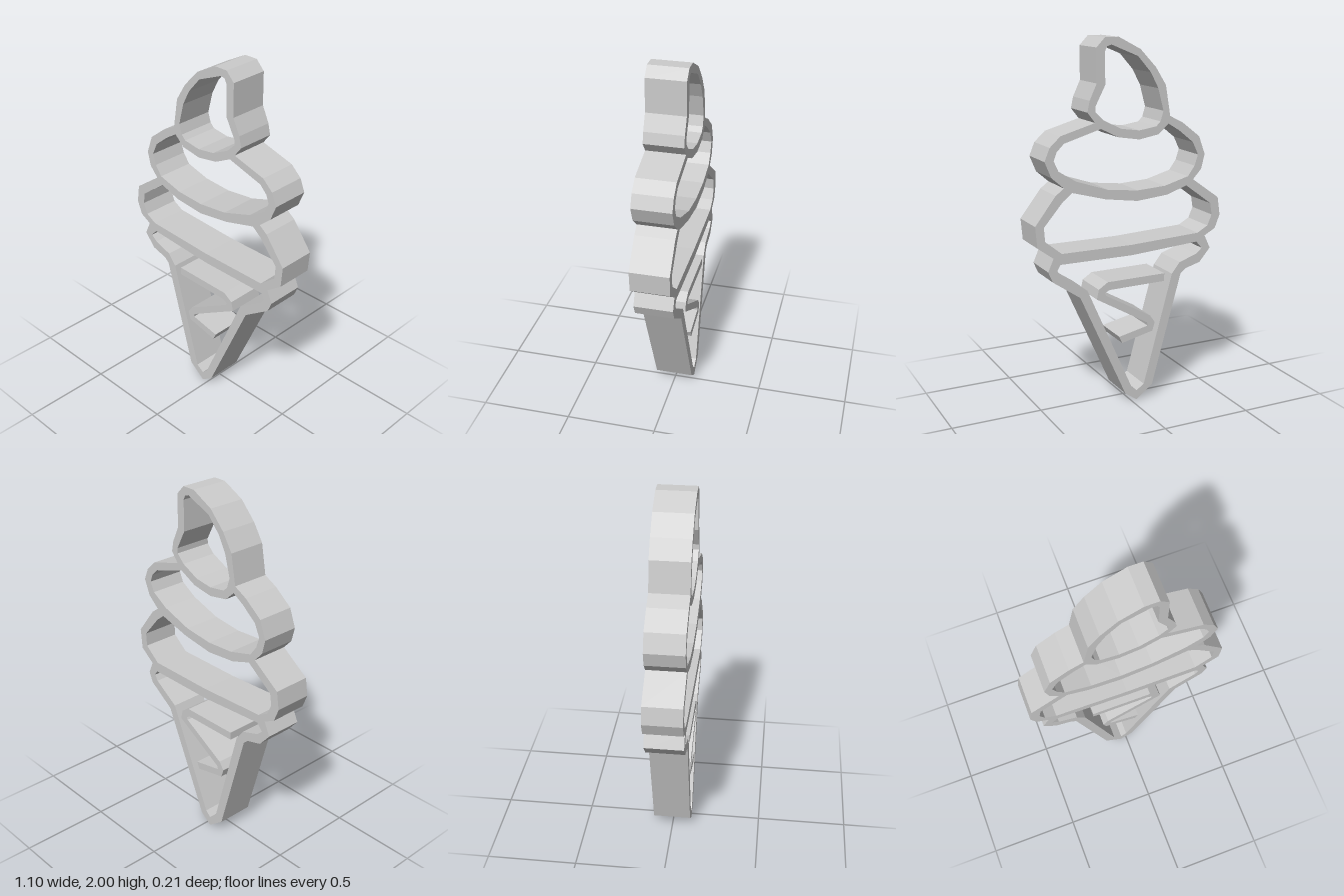
import * as THREE from 'three';

const DEPTH = 0.21;
const material = new THREE.MeshStandardMaterial({ color: 0xcccccc, flatShading: true });

const points = (list) => list.map(([x, y]) => new THREE.Vector2(x, y));

// Extrude a flat outline (with holes), centred on z = 0.
// All lists run clockwise; the outline is turned so that the hole walls face inward.
function cutout(name, outline, holes = []) {
  const shape = new THREE.Shape(points(outline).reverse());
  for (const h of holes) shape.holes.push(new THREE.Path(points(h)));
  const geometry = new THREE.ExtrudeGeometry(shape, { depth: DEPTH, bevelEnabled: false });
  geometry.translate(0, 0, -DEPTH / 2);
  const mesh = new THREE.Mesh(geometry, material);
  mesh.name = name;
  return mesh;
}

// Outer edge of the whole ice cream, clockwise from the tip
const silhouette = [
  [0.075, 2], [0.152, 2], [0.2, 1.95], [0.2, 1.77], [0.24, 1.685], [0.253, 1.625], [0.21, 1.57],
  [0.403, 1.515], [0.463, 1.46], [0.492, 1.39], [0.457, 1.305], [0.388, 1.245],
  [0.435, 1.21], [0.55, 1.06], [0.54, 0.945], [0.452, 0.88],
  [0.483, 0.81], [0.458, 0.752], [0.303, 0.645], [0.037, 0.05], [-0.033, 0], [-0.13, 0.075],
  [-0.305, 0.7], [-0.335, 0.725], [-0.425, 0.75], [-0.49, 0.825], [-0.455, 0.9],
  [-0.52, 0.935], [-0.55, 1.01], [-0.535, 1.11], [-0.375, 1.225],
  [-0.425, 1.28], [-0.445, 1.36], [-0.408, 1.46], [-0.305, 1.54], [-0.228, 1.58],
  [-0.2, 1.745], [-0.14, 1.84], [-0.05, 1.935],
];

// Opening in the curled top
const tipHole = [
  [0.115, 1.962], [0.14, 1.955], [0.152, 1.93], [0.152, 1.76], [0.207, 1.655], [0.207, 1.625],
  [0.162, 1.58], [0.06, 1.53], [-0.045, 1.515], [-0.145, 1.53], [-0.17, 1.555], [-0.187, 1.61],
  [-0.155, 1.73], [-0.11, 1.815], [-0.035, 1.9],
];

// Opening in the upper swirl
const upperHole = [
  [-0.218, 1.54], [-0.16, 1.487], [-0.045, 1.467], [0.077, 1.487], [0.177, 1.537], [0.385, 1.475],
  [0.425, 1.435], [0.442, 1.39], [0.417, 1.335], [0.32, 1.275], [0.14, 1.215], [-0.035, 1.195],
  [-0.2, 1.205], [-0.343, 1.245], [-0.383, 1.3], [-0.403, 1.36], [-0.37, 1.43], [-0.283, 1.5],
];

// Opening in the lower swirl
const lowerHole = [
  [-0.333, 1.195], [-0.215, 1.155], [-0.035, 1.138], [0.152, 1.165], [0.342, 1.217], [0.395, 1.175],
  [0.502, 1.05], [0.497, 0.975], [0.405, 0.9], [0, 0.9], [-0.41, 0.92], [-0.472, 0.955],
  [-0.498, 1.015], [-0.488, 1.08],
];

// Opening in the cone
const coneHole = [
  [-0.403, 0.87], [0, 0.842], [0.413, 0.842], [0.432, 0.812], [0.412, 0.78], [0.262, 0.68],
  [0, 0.085], [-0.033, 0.055], [-0.078, 0.085], [-0.25, 0.705], [-0.298, 0.765],
  [-0.403, 0.8], [-0.438, 0.83],
];

// Loose zigzag strip inside the cone
const zigzag = [
  [-0.202, 0.714], [0.142, 0.71], [0.195, 0.675], [0.207, 0.622], [-0.097, 0.445], [-0.1, 0.426],
  [0.074, 0.389], [0.056, 0.35], [-0.13, 0.392], [-0.145, 0.44], [-0.115, 0.483],
  [0.152, 0.635], [0.16, 0.65], [0.132, 0.665], [-0.202, 0.67],
];

export function createModel() {
  const group = new THREE.Group();
  group.name = 'iceCreamCone';
  group.add(
    cutout('outlineFrame', silhouette, [tipHole, upperHole, lowerHole, coneHole]),
    cutout('coneZigzag', zigzag),
  );
  return group;
}
